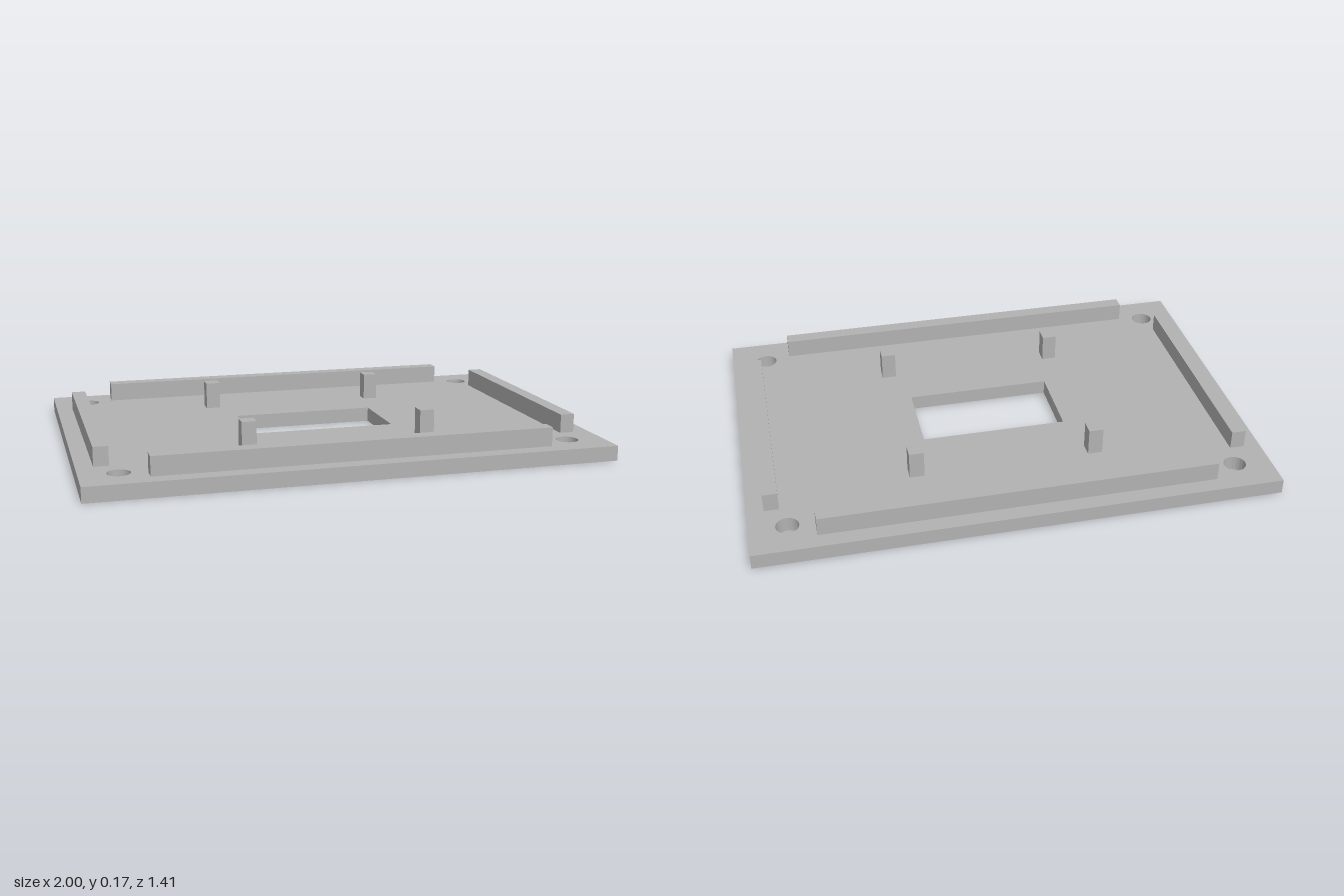
import * as THREE from 'three';
import { toCreasedNormals } from 'three/addons/utils/BufferGeometryUtils.js';

const PLATE_H = 0.058;

export function createModel() {
  const model = new THREE.Group();
  model.name = 'mountingPlate';

  const grey = new THREE.MeshStandardMaterial({ color: 0xb2b2b2 });
  grey.name = 'plain grey';

  // Rectangle centred on the origin, added to a shape or path
  const rect = (path, hx, hy) =>
    path.moveTo(-hx, -hy).lineTo(hx, -hy).lineTo(hx, hy).lineTo(-hx, hy).closePath();

  // Base plate with a central window and four corner screw holes
  const outline = rect(new THREE.Shape(), 1, 0.703);
  outline.holes.push(rect(new THREE.Path(), 0.286, 0.152));
  for (const sx of [-1, 1]) {
    for (const sz of [-1, 1]) {
      outline.holes.push(new THREE.Path().absarc(sx * 0.858, sz * 0.565, 0.043, 0, Math.PI * 2, true));
    }
  }
  const plate = new THREE.ExtrudeGeometry(outline, { depth: PLATE_H, bevelEnabled: false, curveSegments: 32 });
  plate.rotateX(-Math.PI / 2);
  const base = new THREE.Mesh(toCreasedNormals(plate, 0.5), grey);
  base.name = 'basePlate';
  model.add(base);

  // Block standing on the plate, up to the given height
  const block = (name, w, top, d, x, z) => {
    const h = top - PLATE_H;
    const mesh = new THREE.Mesh(new THREE.BoxGeometry(w, h, d), grey);
    mesh.name = name;
    mesh.position.set(x, PLATE_H + h / 2, z);
    model.add(mesh);
  };

  // Rails along the four edges
  block('frontRail', 1.514, 0.131, 0.056, 0, 0.613);
  block('backRail', 1.514, 0.131, 0.056, 0, -0.613);
  block('leftRail', 0.056, 0.131, 0.93, 0.908, 0);
  block('rightRail', 0.056, 0.131, 0.93, -0.908, 0);

  // Square support posts around the window
  for (const sx of [-1, 1]) {
    for (const sz of [-1, 1]) {
      block((sz > 0 ? 'front' : 'back') + (sx > 0 ? 'Left' : 'Right') + 'Post',
        0.057, 0.165, 0.057, sx * 0.352, sz * 0.354);
    }
  }

  return model;
}
